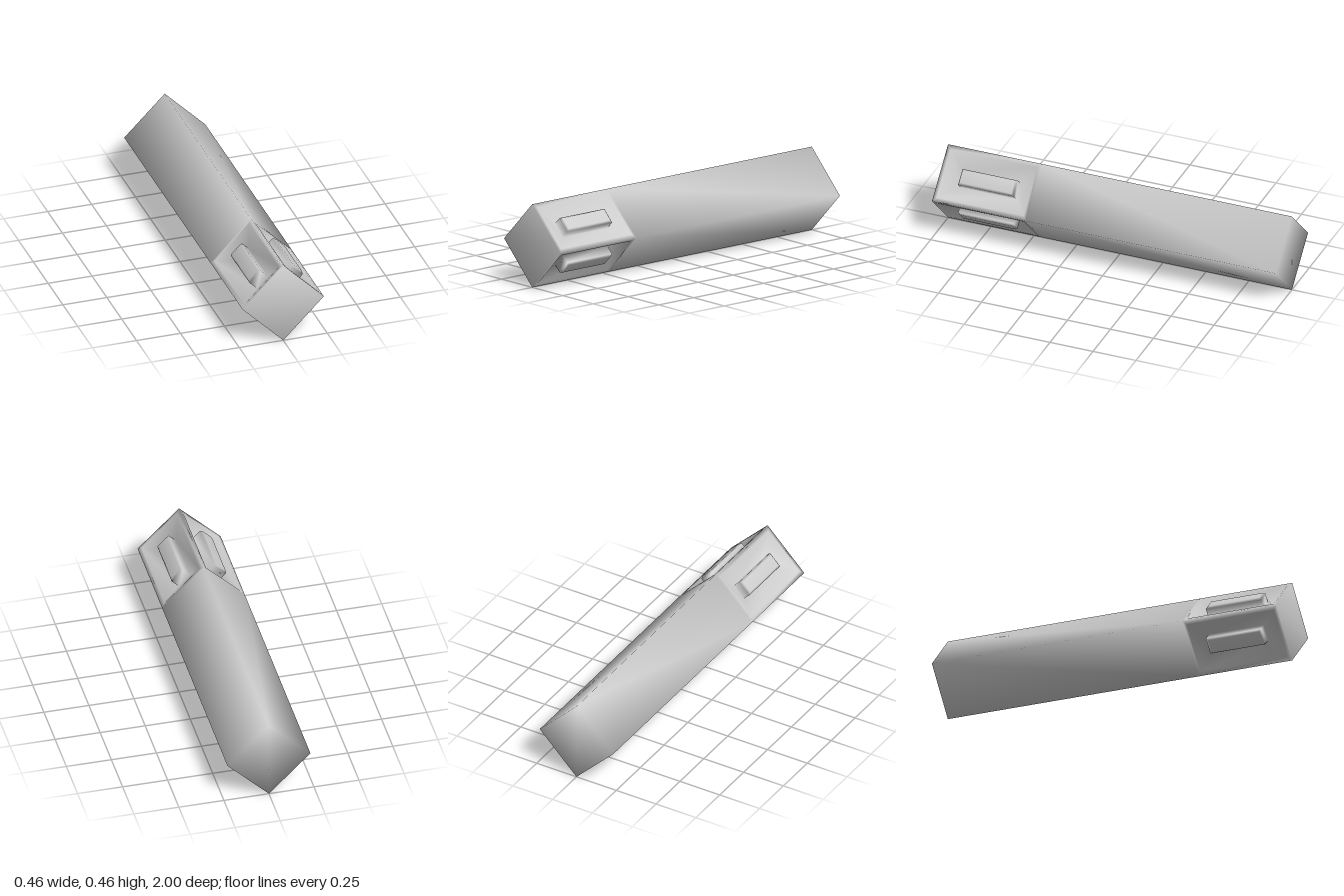
import * as THREE from 'three';
import { mergeVertices } from 'three/addons/utils/BufferGeometryUtils.js';

const HALF = 0.163;      // half width of the square section
const HEIGHT = 0.23;     // height of the bar's axis
const SPLIT = 0.455;     // z where the plain shaft meets the panelled head

// Rectangle on a side face: offset d from the face, half width w, z range.
// Corners run counter-clockwise seen from outside.
function rect(d, w, z0, z1) {
  return [[d, -w, z0], [d, w, z0], [d, w, z1], [d, -w, z1]]
    .map(([o, u, z]) => new THREE.Vector3(HALF + o, u, z));
}

export function createModel() {
  const group = new THREE.Group();
  group.name = 'panelledBar';
  const positions = [];

  const quad = (a, b, c, d) => {
    for (const p of [a, b, c, a, c, d]) positions.push(p.x, p.y, p.z);
  };
  const bridge = (outer, inner) => {
    for (let i = 0; i < 4; i++) {
      const j = (i + 1) % 4;
      quad(outer[i], outer[j], inner[j], inner[i]);
    }
  };

  // Head panel: flat rim, floor sloping inwards, then a raised bevelled block
  const panel = [
    rect(0, HALF, SPLIT, 1),
    rect(0, 0.138, 0.473, 0.98),
    rect(-0.05, 0.045, 0.56, 0.88),
    rect(0.005, 0.045, 0.56, 0.88),
    rect(0.015, 0.034, 0.571, 0.869),
  ];
  const shaft = rect(0, HALF, -1, SPLIT);

  // Four identical sides around the axis, standing on one edge
  const axis = new THREE.Vector3(0, 0, 1);
  for (let k = 0; k < 4; k++) {
    const turn = (ring) => ring.map((p) => p.clone().applyAxisAngle(axis, Math.PI / 4 + k * Math.PI / 2));
    const rings = panel.map(turn);
    quad(...turn(shaft));
    for (let i = 0; i < rings.length - 1; i++) bridge(rings[i], rings[i + 1]);
    quad(...rings[rings.length - 1]);
  }

  // Square end caps
  const end = (z) => [0, 1, 2, 3].map((k) => {
    const a = k * Math.PI / 2;
    const r = HALF * Math.SQRT2;
    return new THREE.Vector3(r * Math.cos(a), r * Math.sin(a), z);
  });
  quad(...end(1));
  quad(...end(-1).reverse());

  // Shared corners give the soft shading across edges
  const raw = new THREE.BufferGeometry();
  raw.setAttribute('position', new THREE.Float32BufferAttribute(positions, 3));
  const geometry = mergeVertices(raw, 1e-4);
  geometry.computeVertexNormals();

  const bar = new THREE.Mesh(geometry, new THREE.MeshStandardMaterial({ color: 0xcccccc }));
  bar.name = 'bar';
  bar.position.y = HEIGHT;
  group.add(bar);
  return group;
}
